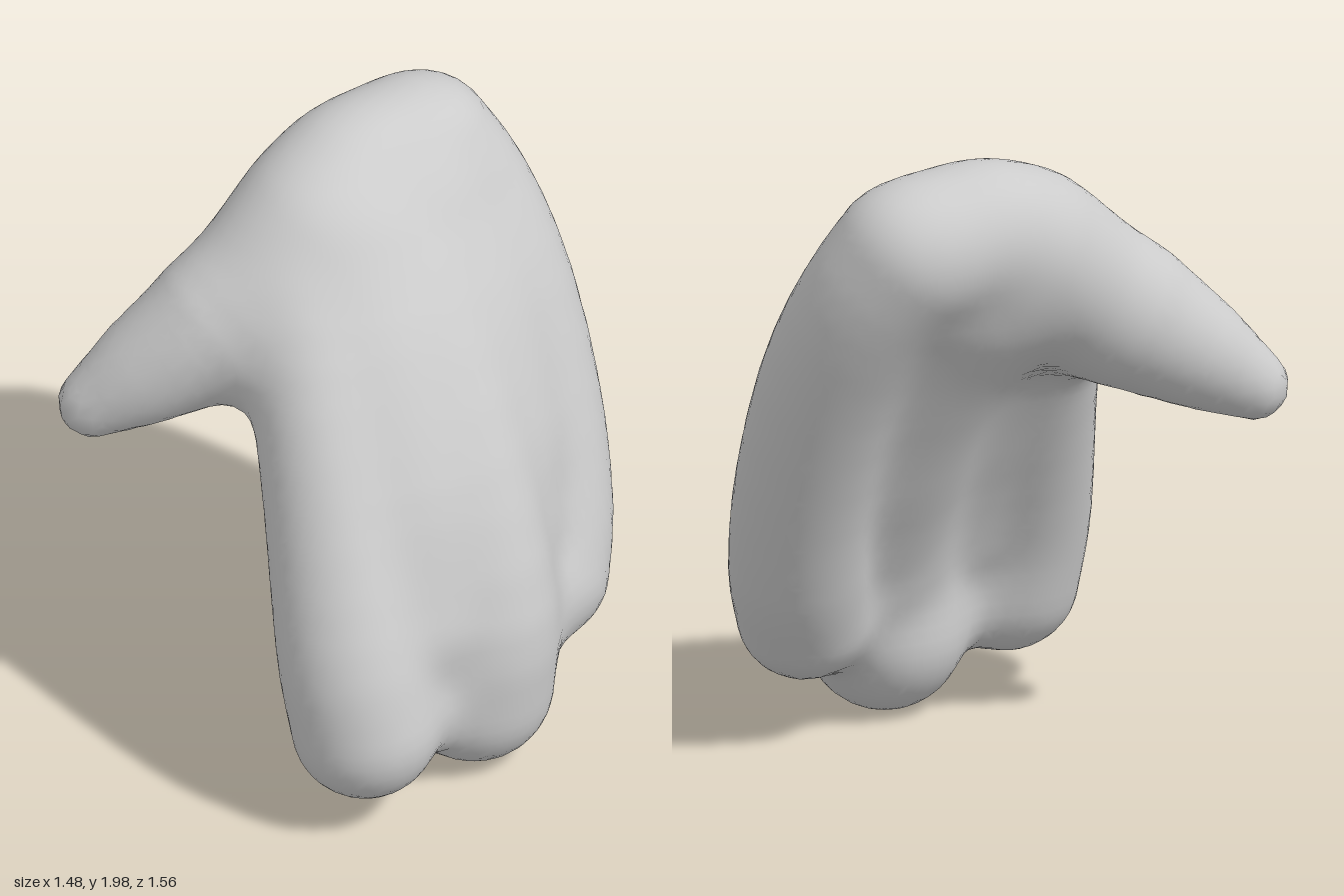
import * as THREE from 'three';

// Each limb: soft blend width and control points [x, y, z, radius] from tip to root.
const limbs = [
  // front finger
  { soft: 0.2, points: [[0.385, 0.33, 0.545, 0.23], [0.325, 0.55, 0.53, 0.23], [0.16, 1.0, 0.38, 0.22], [-0.02, 1.38, 0.21, 0.21], [-0.16, 1.6, 0.02, 0.2]] },
  // middle finger
  { soft: 0.2, points: [[0.48, 0.25, 0.08, 0.25], [0.49, 0.5, 0.07, 0.25], [0.37, 0.92, 0.0, 0.235], [0.165, 1.32, -0.1, 0.23], [-0.045, 1.605, -0.18, 0.225], [-0.18, 1.74, -0.22, 0.235]] },
  // back finger
  { soft: 0.2, points: [[0.46, 0.41, -0.33, 0.21], [0.415, 0.57, -0.405, 0.22], [0.32, 0.88, -0.49, 0.22], [0.15, 1.3, -0.55, 0.225], [0.0, 1.57, -0.55, 0.225], [-0.1, 1.72, -0.5, 0.235]] },
  // thumb
  { soft: 0.18, points: [[-0.625, 1.16, 0.545, 0.11], [-0.5, 1.27, 0.42, 0.175], [-0.335, 1.42, 0.24, 0.24], [-0.21, 1.62, -0.02, 0.235]] },
  // palm flesh between front and middle fingers
  { soft: 0.12, points: [[0.4, 0.62, 0.29, 0.17], [0.29, 0.96, 0.2, 0.215], [0.09, 1.35, 0.06, 0.22], [-0.06, 1.54, -0.05, 0.2]] },
  // palm flesh between middle and back fingers
  { soft: 0.12, points: [[0.39, 0.74, -0.19, 0.16], [0.32, 0.94, -0.24, 0.21], [0.16, 1.31, -0.32, 0.22], [-0.02, 1.58, -0.35, 0.215]] },
  // inner palm
  { soft: 0.15, points: [[0.39, 0.58, -0.05, 0.16], [0.25, 0.88, -0.12, 0.185], [0.07, 1.23, -0.18, 0.205], [-0.11, 1.5, -0.19, 0.205]] },
];

// Smooth tapering limb as a list of short rounded segments.
function makeLimb({ soft, points }) {
  const curve = new THREE.CatmullRomCurve3(points.map(p => new THREE.Vector3(p[0], p[1], p[2])));
  const steps = 14;
  const samples = [];
  for (let i = 0; i <= steps; i++) {
    const t = i / steps, u = t * (points.length - 1);
    const n = Math.min(Math.floor(u), points.length - 2);
    samples.push({ c: curve.getPoint(t), r: THREE.MathUtils.lerp(points[n][3], points[n + 1][3], u - n) });
  }
  return { soft, samples };
}

// Signed distance from a point to a limb.
function limbDistance(samples, x, y, z) {
  let best = Infinity;
  for (let i = 0; i < samples.length - 1; i++) {
    const a = samples[i].c, b = samples[i + 1].c;
    const dx = b.x - a.x, dy = b.y - a.y, dz = b.z - a.z;
    const px = x - a.x, py = y - a.y, pz = z - a.z;
    const t = Math.min(1, Math.max(0, (px * dx + py * dy + pz * dz) / (dx * dx + dy * dy + dz * dz)));
    const r = samples[i].r + (samples[i + 1].r - samples[i].r) * t;
    best = Math.min(best, Math.hypot(px - dx * t, py - dy * t, pz - dz * t) - r);
  }
  return best;
}

// Soft blend, so the limbs melt into one palm.
function blend(a, b, k) {
  const h = Math.max(k - Math.abs(a - b), 0) / k;
  return Math.min(a, b) - h * h * k / 4;
}

// Skin the zero surface of a distance field with a smooth quad mesh.
function skin(field, min, size, cell) {
  const [nx, ny, nz] = size.map(s => Math.ceil(s / cell) + 1);
  const at = (i, j, k) => (k * ny + j) * nx + i;
  const values = new Float32Array(nx * ny * nz);
  for (let k = 0; k < nz; k++)
    for (let j = 0; j < ny; j++)
      for (let i = 0; i < nx; i++)
        values[at(i, j, k)] = field(min[0] + i * cell, min[1] + j * cell, min[2] + k * cell);

  const positions = [], normals = [], indices = [], cells = new Map();
  const axes = [[1, 0, 0], [0, 1, 0], [0, 0, 1]];

  // One vertex per crossed cell: mean of its edge crossings, settled onto the surface.
  function cellVertex(c) {
    const key = at(...c);
    if (cells.has(key)) return cells.get(key);
    const sum = [0, 0, 0];
    let count = 0;
    for (let a = 0; a < 3; a++) {
      for (let n = 0; n < 4; n++) {
        const p = [0, 0, 0];
        p[(a + 1) % 3] = n & 1;
        p[(a + 2) % 3] = n >> 1;
        const q = p.map((v, m) => v + axes[a][m]);
        const v0 = values[at(c[0] + p[0], c[1] + p[1], c[2] + p[2])];
        const v1 = values[at(c[0] + q[0], c[1] + q[1], c[2] + q[2])];
        if ((v0 < 0) === (v1 < 0)) continue;
        p[a] += v0 / (v0 - v1);
        for (let m = 0; m < 3; m++) sum[m] += p[m];
        count++;
      }
    }
    const point = sum.map((s, m) => min[m] + (c[m] + s / count) * cell);
    const e = 0.05;
    const normal = new THREE.Vector3(...axes.map(d =>
      field(...point.map((v, m) => v + e * d[m])) - field(...point.map((v, m) => v - e * d[m])))).normalize();
    const gap = field(...point);
    const index = positions.length / 3;
    positions.push(point[0] - normal.x * gap, point[1] - normal.y * gap, point[2] - normal.z * gap);
    normals.push(normal.x, normal.y, normal.z);
    cells.set(key, index);
    return index;
  }

  // One quad around each crossed grid edge.
  for (let k = 1; k < nz - 1; k++)
    for (let j = 1; j < ny - 1; j++)
      for (let i = 1; i < nx - 1; i++)
        for (let a = 0; a < 3; a++) {
          const p = [i, j, k], e = axes[a], b = axes[(a + 1) % 3], c = axes[(a + 2) % 3];
          const inside = values[at(i, j, k)] < 0;
          if (inside === (values[at(i + e[0], j + e[1], k + e[2])] < 0)) continue;
          const quad = [[1, 1], [0, 1], [0, 0], [1, 0]].map(([s, t]) => cellVertex(p.map((v, m) => v - s * b[m] - t * c[m])));
          if (!inside) quad.reverse();
          indices.push(quad[0], quad[1], quad[2], quad[0], quad[2], quad[3]);
        }

  const geometry = new THREE.BufferGeometry();
  geometry.setAttribute('position', new THREE.Float32BufferAttribute(positions, 3));
  geometry.setAttribute('normal', new THREE.Float32BufferAttribute(normals, 3));
  geometry.setIndex(indices);
  return geometry;
}

export function createModel() {
  const group = new THREE.Group();
  group.name = 'cartoonHand';

  // Fingers, thumb and palm fused into one skin
  const parts = limbs.map(makeLimb);
  const field = (x, y, z) => parts.reduce(
    (d, part) => blend(d, limbDistance(part.samples, x, y, z), part.soft), 10);

  const hand = new THREE.Mesh(
    skin(field, [-0.95, -0.2, -1], [1.9, 2.4, 2], 0.045),
    new THREE.MeshStandardMaterial({ color: 0xcccccc }));
  hand.name = 'hand';
  group.add(hand);
  return group;
}
